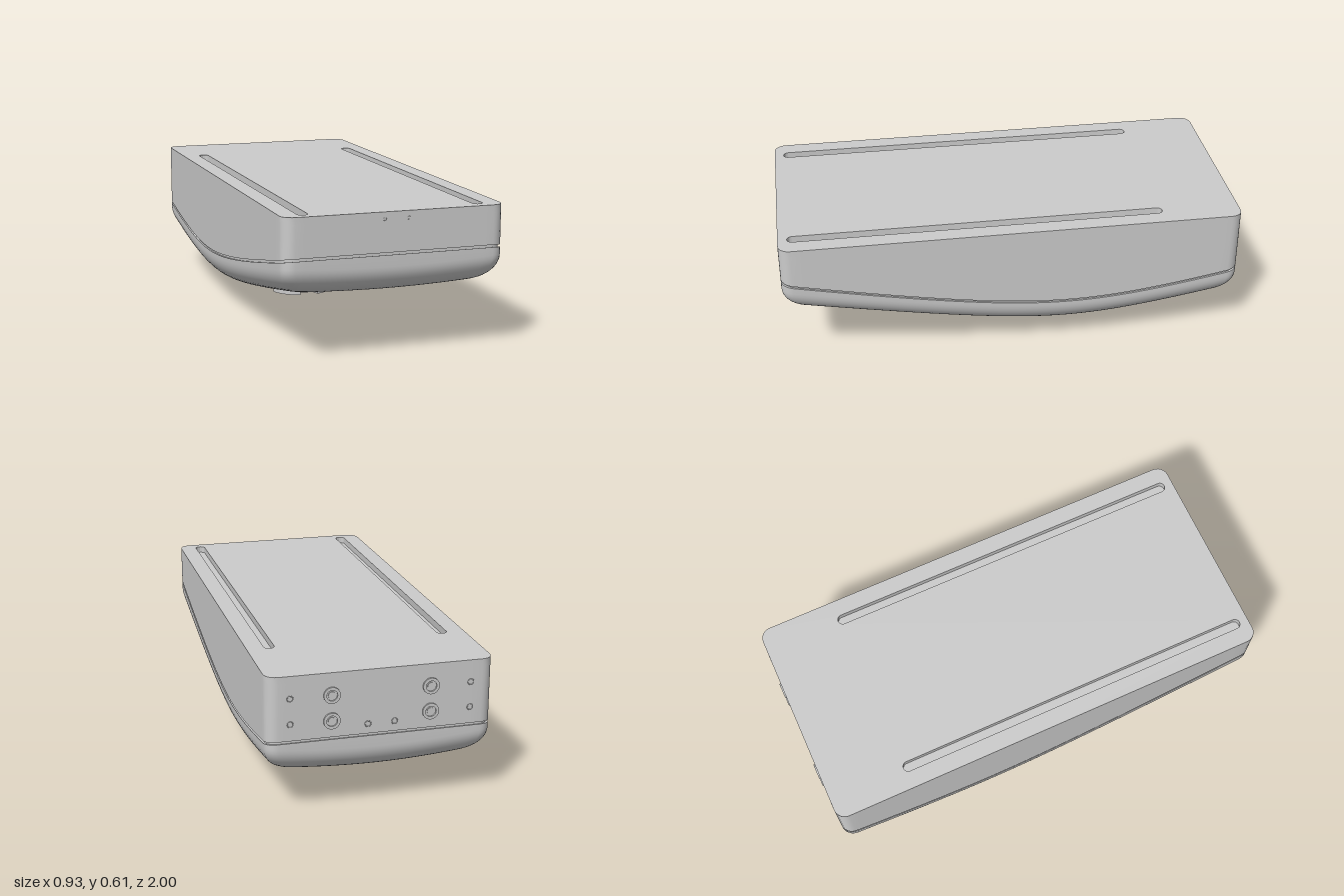
import * as THREE from 'three';
import { toCreasedNormals } from 'three/addons/utils/BufferGeometryUtils.js';

const HX = 0.466, HZ = 0.9965, Z0 = 0.0035;   // half width, half length, lengthwise offset
const TOP = 0.605, FLOOR = 0.575;             // deck height and slot floor
const MOUNT_Z = -0.25, MOUNT_R = 0.175;       // centre and radius of the underside disc
const FILLET = 0.09, CORNER = 0.05;

const mat = new THREE.MeshStandardMaterial({ color: 0xcccccc });
const thin = new THREE.MeshStandardMaterial({ color: 0xcccccc, side: THREE.DoubleSide });

function add(parent, name, geo, x = 0, y = 0, z = 0, material = mat) {
  const m = new THREE.Mesh(geo, material);
  m.name = name;
  m.position.set(x, y, z);
  parent.add(m);
  return m;
}

// Underside is a shallow cone around the mount
const coneY = (x, z) => 0.068 + 0.21 * Math.max(0, Math.hypot(x, z - MOUNT_Z) - MOUNT_R);
const seamY = (z) => coneY(HX, z) + 0.11 + 0.015 * ((z - MOUNT_Z) / 1.25) ** 2;

// Rounded rectangle in plan, evenly sampled, shrunk by an inset
function outline(inset) {
  const pts = [], cx = HX - inset - CORNER, cz = HZ - inset - CORNER;
  const signs = [[1, 1], [-1, 1], [-1, -1], [1, -1]];
  signs.forEach(([sx, sz], k) => {
    for (let i = 0; i <= 6; i++) {
      const a = (k + i / 6) * Math.PI / 2;
      pts.push([sx * cx + CORNER * Math.cos(a), sz * cz + CORNER * Math.sin(a) + Z0]);
    }
    const [nx, nz] = signs[(k + 1) % 4];
    const p = pts[pts.length - 1];
    const q = k % 2 ? [p[0], nz * cz + Z0] : [nx * cx, p[1]];
    const n = k % 2 ? 40 : 20;
    for (let i = 1; i < n; i++) {
      pts.push([p[0] + (q[0] - p[0]) * i / n, p[1] + (q[1] - p[1]) * i / n]);
    }
  });
  return pts;
}

// Skin from the mount disc over the rounded rim, seam groove and wall up to the deck
function shellGeometry() {
  const rows = [];
  const rim = outline(FILLET);
  for (const t of [0, 0.2, 0.4, 0.6, 0.8]) {
    rows.push(rim.map(([x, z]) => {
      const d = Math.hypot(x, z - MOUNT_Z);
      const k = (MOUNT_R + (d - MOUNT_R) * t) / d;
      const px = x * k, pz = MOUNT_Z + (z - MOUNT_Z) * k;
      return [px, coneY(px, pz), pz];
    }));
  }
  for (let i = 0; i <= 10; i++) {
    const a = (1 - i / 10) * Math.PI / 2;
    const rise = FILLET * (1 - Math.sin(a));
    rows.push(outline(FILLET * (1 - Math.cos(a))).map(([x, z]) => [x, coneY(x, z) + rise, z]));
  }
  for (const [inset, dy] of [[0, -0.005], [0.008, -0.005], [0.008, 0.005], [0, 0.005]]) {
    rows.push(outline(inset).map(([x, z]) => [x, seamY(z) + dy, z]));
  }
  rows.push(outline(0).map(([x, z]) => [x, FLOOR, z]));

  const n = rim.length, index = [];
  for (let r = 0; r < rows.length - 1; r++) {
    for (let i = 0; i < n; i++) {
      const a = r * n + i, b = r * n + (i + 1) % n;
      index.push(a, a + n, b, b, a + n, b + n);
    }
  }
  const g = new THREE.BufferGeometry();
  g.setAttribute('position', new THREE.Float32BufferAttribute(rows.flat(2), 3));
  g.setIndex(index);
  return toCreasedNormals(g, 0.6);
}

// Extrude a plan shape upward (shape y becomes -z)
function slab(shape, depth) {
  const g = new THREE.ExtrudeGeometry(shape, { depth, bevelEnabled: false, curveSegments: 20 });
  return toCreasedNormals(g.rotateX(-Math.PI / 2), 0.6);
}

function pill(Path, x, zBack, zFront, r) {
  const p = new Path();
  p.absarc(x, -zBack - r, r, 0, Math.PI, false);
  p.absarc(x, -zFront + r, r, Math.PI, Math.PI * 2, false);
  p.closePath();
  return p;
}

// Ring or ring sector
function ringShape(rOut, rIn, a0 = 0, a1 = Math.PI * 2) {
  const s = new THREE.Shape();
  s.absarc(0, 0, rOut, a0, a1, false);
  if (a1 - a0 > 6.28) {
    s.holes.push(new THREE.Path().absarc(0, 0, rIn, 0, Math.PI * 2, true));
  } else {
    s.absarc(0, 0, rIn, a1, a0, true);
    s.closePath();
  }
  return s;
}

function createMount() {
  const mount = new THREE.Group();
  mount.name = 'mount';
  mount.position.z = MOUNT_Z;
  add(mount, 'mountFlange', new THREE.CylinderGeometry(MOUNT_R, MOUNT_R, 0.012, 48), 0, 0.064, 0);
  add(mount, 'mountCore', new THREE.CylinderGeometry(0.125, 0.125, 0.025, 40), 0, 0.048, 0);
  add(mount, 'collar', slab(ringShape(0.142, 0.12), 0.05), 0, 0.01, 0);
  add(mount, 'hubRing', slab(ringShape(0.055, 0.035), 0.035), 0, 0.008, 0);
  add(mount, 'hubPin', new THREE.CylinderGeometry(0.018, 0.018, 0.03, 20), 0, 0.03, 0);
  // Jaws around the collar, with gaps between
  for (let i = 0; i < 4; i++) {
    const a = Math.PI / 4 + i * Math.PI / 2;
    add(mount, 'jaw', slab(ringShape(0.15, 0.105, a - 0.5, a + 0.5), 0.048), 0, 0, 0);
  }
  for (let i = 0; i < 6; i++) {
    const a = i * Math.PI / 3;
    const rib = add(mount, 'rib', new THREE.BoxGeometry(0.08, 0.03, 0.014),
      0.085 * Math.cos(a), 0.025, -0.085 * Math.sin(a));
    rib.rotation.y = a;
  }
  // Release lever
  add(mount, 'leverArm', new THREE.BoxGeometry(0.05, 0.012, 0.02), 0.155, 0.035, 0);
  const knob = add(mount, 'leverKnob', new THREE.BoxGeometry(0.03, 0.03, 0.03), 0.18, 0.039, 0);
  knob.rotation.z = 0.1;
  return mount;
}

export function createModel() {
  const model = new THREE.Group();
  model.name = 'housing';
  add(model, 'shell', shellGeometry());

  // Deck with two long slots
  const deck = new THREE.Shape(outline(0).map(([x, z]) => new THREE.Vector2(x, -z)));
  for (const s of [-1, 1]) {
    deck.holes.push(pill(THREE.Path, s * 0.37, -0.655, 0.96, 0.022));
    const floor = new THREE.ShapeGeometry(pill(THREE.Shape, s * 0.37, -0.66, 0.965, 0.027));
    add(model, 'slotFloor', floor.rotateX(-Math.PI / 2), 0, FLOOR + 0.001, 0, thin);
  }
  add(model, 'deck', slab(deck, TOP - FLOOR), 0, FLOOR, 0);

  // Rear sockets and screw holes
  const back = Z0 - HZ, front = Z0 + HZ;
  const hole = (name, x, y, z, r) =>
    add(model, name, new THREE.TorusGeometry(r, 0.002, 6, 20), x, y, z);
  for (const s of [-1, 1]) {
    for (const y of [0.405, 0.512]) {
      const socket = slab(ringShape(0.034, 0.022), 0.007).rotateX(-Math.PI / 2);
      add(model, 'rearSocket', socket, s * 0.203, y, back);
      const pin = new THREE.CylinderGeometry(0.015, 0.015, 0.004, 20).rotateX(Math.PI / 2);
      add(model, 'socketPin', pin, s * 0.203, y, back - 0.002);
      hole('rearScrewHole', s * 0.37, y, back, 0.012);
    }
    hole('rearScrewHole', s * 0.055, 0.377, back, 0.012);
    hole('frontHole', s * 0.05, 0.576, front - 0.001, 0.006);
  }

  // Round cover outlined on the sloping underside
  const cover = add(model, 'undersideCover', new THREE.TorusGeometry(0.058, 0.002, 6, 40),
    0, coneY(0, 0.46), 0.46);
  cover.rotation.x = Math.PI / 2 - Math.atan(0.21);

  model.add(createMount());
  return model;
}
